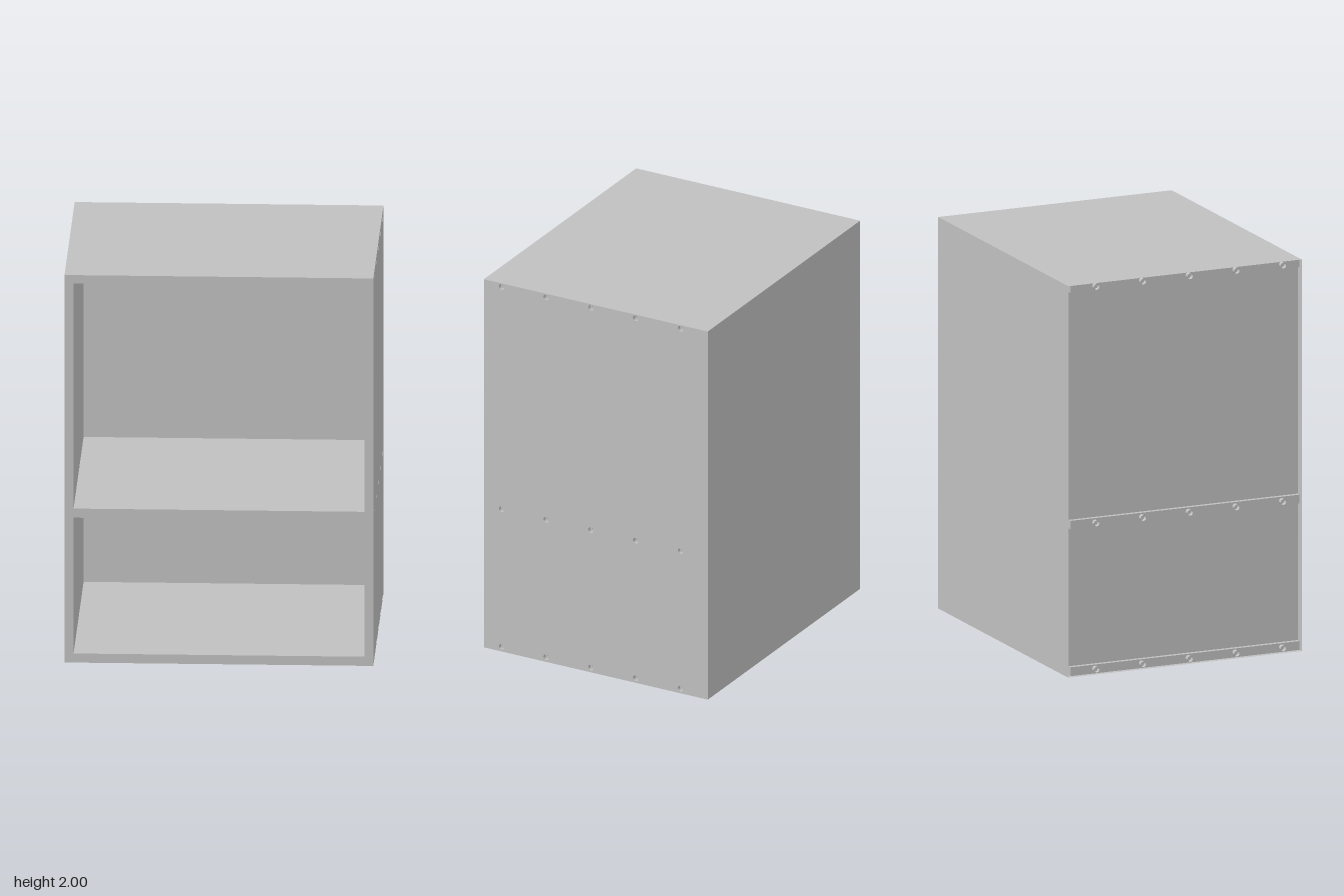
import * as THREE from 'three';

const W = 0.765, H = 2, D = 0.637;   // half width, height, half depth
const IN = 0.72;                     // inner face of the side walls
const MID = 0.743;                   // bottom of the joint grooves
const BACK = -0.614;                 // inner face of the back
const BOARDS = [['bottomBoard', 0, 0.047], ['shelf', 0.748, 0.795], ['topBoard', 1.957, 2]];
const HOLE_Y = [0.025, 0.772, 1.98];
const HOLE_Z = [0.537, 0.283, 0.028, -0.227, -0.482];

export function createModel() {
  const group = new THREE.Group();
  const grey = new THREE.MeshStandardMaterial({ color: 0xc0c0c0, side: THREE.DoubleSide });
  grey.name = 'grey';

  const add = (name, geometry) => {
    const mesh = new THREE.Mesh(geometry, grey);
    mesh.name = name;
    group.add(mesh);
    return mesh;
  };
  const box = (name, x0, x1, y0, y1, z0, z1) =>
    add(name, new THREE.BoxGeometry(x1 - x0, y1 - y0, z1 - z0))
      .position.set((x0 + x1) / 2, (y0 + y1) / 2, (z0 + z1) / 2);

  // Back panel and the three horizontal boards
  box('backPanel', -IN, IN, 0, H, -D, BACK);
  for (const [name, y0, y1] of BOARDS) {
    box(name, -IN, IN, y0, y1, BACK, D);
    // Board end standing proud of the right wall, inside the open side
    box(name + 'Tongue', -MID, -IN, y0 + 0.001, y1 - 0.001, BACK, D - 0.002);
  }

  // Left side: an inner layer with pilot holes, an outer one with screw holes
  const drilledLayer = (name, x0, x1, radius) => {
    const shape = new THREE.Shape();
    shape.moveTo(-D, 0).lineTo(D, 0).lineTo(D, H).lineTo(-D, H).closePath();
    for (const y of HOLE_Y) for (const z of HOLE_Z)
      shape.holes.push(new THREE.Path().absarc(-z, y, radius, 0, Math.PI * 2, true));
    const geometry = new THREE.ExtrudeGeometry(shape, { depth: x1 - x0, bevelEnabled: false, curveSegments: 16 });
    add(name, geometry.rotateY(Math.PI / 2)).position.x = x0;
  };
  drilledLayer('leftSideInner', IN, MID, 0.007);
  drilledLayer('leftSideOuter', MID, W, 0.015);

  // Right side: a single inner skin, open on the outside
  add('rightWall', new THREE.PlaneGeometry(2 * D, H).rotateY(Math.PI / 2)).position.set(-IN, H / 2, 0);

  // Thin rim around the open side
  const rimX = -(W + IN) / 2, rimW = W - IN;
  for (const s of [-1, 1]) {
    add(s > 0 ? 'rimFront' : 'rimBack', new THREE.PlaneGeometry(rimW, H).rotateY(s > 0 ? 0 : Math.PI))
      .position.set(rimX, H / 2, s * D);
    add(s > 0 ? 'rimTop' : 'rimBottom', new THREE.PlaneGeometry(rimW, 2 * D).rotateX(-s * Math.PI / 2))
      .position.set(rimX, s > 0 ? H : 0, 0);
  }

  // Screw hole sleeves in the open side
  for (const y of HOLE_Y) for (const z of HOLE_Z)
    add('screwSleeve', new THREE.CylinderGeometry(0.015, 0.015, W - MID, 16, 1, true).rotateZ(Math.PI / 2))
      .position.set(-(W + MID) / 2, y, z);

  return group;
}
